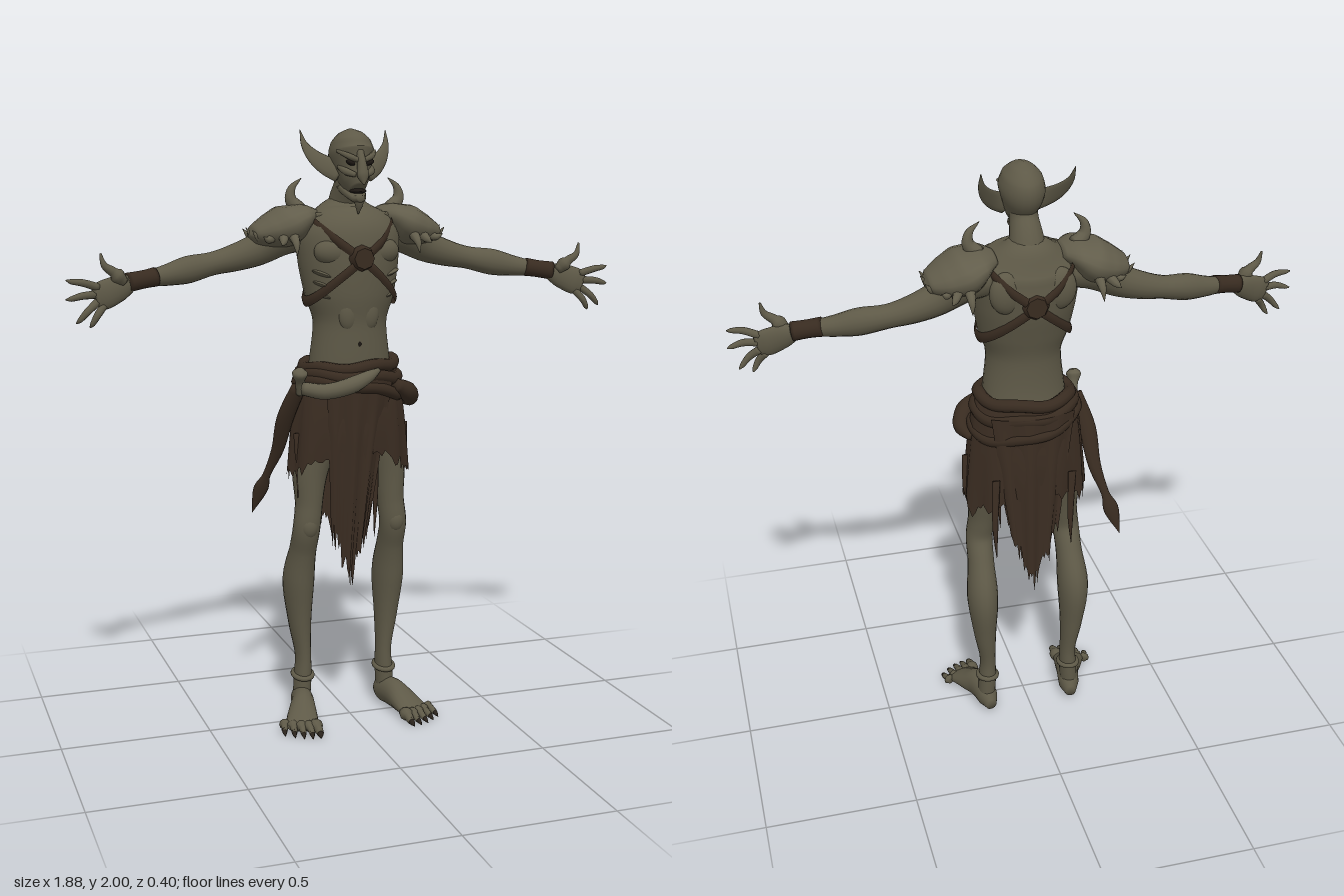
import * as THREE from 'three';

const mat = (name, color, double) => {
  const m = new THREE.MeshStandardMaterial({ color });
  m.name = name;
  if (double) m.side = THREE.DoubleSide;
  return m;
};
const hash = (i) => { const v = Math.sin(i * 12.9898) * 43758.5453; return v - Math.floor(v); };

// Build an indexed grid; closed rings wrap around and get end caps.
function gridGeometry(verts, nu, nv, closed) {
  const index = [], w = closed ? nu : nu + 1;
  for (let i = 0; i < nv; i++) for (let j = 0; j < nu; j++) {
    const k = closed ? (j + 1) % nu : j + 1;
    const a = i * w + j, b = i * w + k, c = (i + 1) * w + k, d = (i + 1) * w + j;
    index.push(a, b, c, a, c, d);
  }
  if (closed) {
    const s = (nv + 1) * w;
    for (let j = 0; j < nu; j++) {
      const k = (j + 1) % nu;
      index.push(s, k, j, s + 1, nv * w + j, nv * w + k);
    }
  }
  const g = new THREE.BufferGeometry();
  g.setAttribute('position', new THREE.Float32BufferAttribute(verts, 3));
  g.setIndex(index);
  g.computeVertexNormals();
  return g;
}

// Smooth body through points [x, y, z, radiusAcross, radiusTowardRef].
function limb(pts, sides = 16, ref = new THREE.Vector3(0, 0, 1)) {
  const path = new THREE.CatmullRomCurve3(pts.map(p => new THREE.Vector3(p[0], p[1], p[2])));
  const radii = new THREE.CatmullRomCurve3(pts.map(p => new THREE.Vector3(p[3], p[4] ?? p[3], 0)));
  const n = (pts.length - 1) * 5, verts = [];
  for (let i = 0; i <= n; i++) {
    const p = path.getPoint(i / n), r = radii.getPoint(i / n), t = path.getTangent(i / n);
    const s = ref.clone().cross(t).normalize(), q = t.clone().cross(s);
    for (let j = 0; j < sides; j++) {
      const a = j / sides * Math.PI * 2;
      const v = p.clone().addScaledVector(s, Math.cos(a) * Math.max(r.x, 0.001))
        .addScaledVector(q, Math.sin(a) * Math.max(r.y, 0.001));
      verts.push(v.x, v.y, v.z);
    }
  }
  for (const t of [0, 1]) verts.push(...path.getPoint(t).toArray());
  return gridGeometry(verts, sides, n, true);
}

// Open sheet from a rule fn(u, v) -> [x, y, z].
function sheet(nu, nv, fn) {
  const verts = [];
  for (let i = 0; i <= nv; i++) for (let j = 0; j <= nu; j++) verts.push(...fn(j / nu, i / nv, j));
  return gridGeometry(verts, nu, nv, false);
}

const TORSO = [
  [0, 1.12, -0.02, 0.15, 0.115], [0, 1.25, -0.005, 0.137, 0.108], [0, 1.37, -0.003, 0.124, 0.108],
  [0, 1.46, -0.005, 0.15, 0.125], [0, 1.56, -0.015, 0.168, 0.14], [0, 1.64, -0.025, 0.175, 0.144],
  [0, 1.7, -0.04, 0.155, 0.125], [0, 1.745, -0.05, 0.1, 0.085], [0, 1.775, -0.05, 0.055, 0.05]];

// Torso cross-section [centreZ, radiusX, radiusZ] at height y.
function torsoAt(y) {
  let i = 0;
  while (i < TORSO.length - 2 && TORSO[i + 1][1] < y) i++;
  const a = TORSO[i], b = TORSO[i + 1], t = (y - a[1]) / (b[1] - a[1]);
  return [2, 3, 4].map(k => a[k] + (b[k] - a[k]) * t);
}

export function createModel() {
  const root = new THREE.Group();
  const skin = mat('skin', 0x5e5947), bone = mat('bone', 0x625d4b), claw = mat('claw', 0x29221b);
  const leather = mat('leather', 0x382b20, true), cloth = mat('cloth', 0x3b2d22, true), dark = mat('eyeDark', 0x1b1612);
  const add = (name, geo, m, parent = root) => {
    const mesh = new THREE.Mesh(geo, m);
    mesh.name = name;
    parent.add(mesh);
    return mesh;
  };
  const ball = (name, m, x, y, z, sx, sy, sz) => {
    const b = add(name, new THREE.SphereGeometry(1, 20, 14), m);
    b.position.set(x, y, z);
    b.scale.set(sx, sy, sz);
    return b;
  };
  const up = new THREE.Vector3(0, 1, 0);

  // Trunk, neck and head
  add('torso', limb(TORSO, 32), skin);
  add('neck', limb([[0, 1.68, -0.07, 0.075, 0.07], [0, 1.77, -0.045, 0.055, 0.057], [0, 1.83, -0.01, 0.046, 0.052], [0, 1.89, 0, 0.045, 0.05]]), skin);
  add('head', limb([[0, 1.805, 0.075, 0.026, 0.04], [0, 1.83, 0.06, 0.042, 0.062], [0, 1.87, 0.035, 0.058, 0.083],
    [0, 1.92, 0.014, 0.072, 0.1], [0, 1.96, 0.008, 0.062, 0.086], [0, 1.988, 0.005, 0.036, 0.05], [0, 2, 0.004, 0.008, 0.01]], 24), skin);
  add('jaw', limb([[0, 1.815, 0.0, 0.045, 0.025], [0, 1.795, 0.05, 0.038, 0.022], [0, 1.78, 0.09, 0.025, 0.016], [0, 1.78, 0.115, 0.012, 0.01]], 14, up), skin);
  add('chin', limb([[0, 1.79, 0.095, 0.02, 0.018], [0, 1.76, 0.092, 0.014, 0.012], [0, 1.73, 0.085, 0.002]], 10), skin);
  add('nose', limb([[0, 1.93, 0.1, 0.012, 0.012], [0, 1.89, 0.118, 0.015, 0.018], [0, 1.855, 0.13, 0.02, 0.018], [0, 1.825, 0.143, 0.003]], 12), skin);
  ball('mouth', dark, 0, 1.803, 0.08, 0.027, 0.009, 0.034);
  ball('navel', dark, 0, 1.31, 0.103, 0.005, 0.009, 0.003);

  for (const s of [1, -1]) {
    const side = s > 0 ? 'left' : 'right';
    const m = (pts) => pts.map(([x, ...r]) => [x * s, ...r]);
    const part = (name, pts, material = skin, sides, ref) => add(side + name, limb(m(pts), sides, ref), material);

    // Face
    ball(side + 'Eye', dark, s * 0.032, 1.893, 0.103, 0.016, 0.008, 0.012).rotation.z = s * 0.4;
    part('Brow', [[0.008, 1.9, 0.115, 0.008], [0.035, 1.912, 0.108, 0.01], [0.064, 1.93, 0.06, 0.005]], skin, 8, up);
    part('Cheek', [[0.02, 1.855, 0.115, 0.008], [0.042, 1.865, 0.09, 0.012], [0.056, 1.88, 0.05, 0.006]], skin, 8, up);
    part('Ear', [[0.045, 1.855, 0.035, 0.028, 0.012], [0.08, 1.88, 0.015, 0.031, 0.009], [0.115, 1.91, -0.015, 0.024, 0.007],
      [0.14, 1.95, -0.045, 0.012, 0.005], [0.148, 1.998, -0.07, 0.001]], skin, 12);

    // Chest, ribs and collarbone
    ball(side + 'Pectoral', skin, s * 0.075, 1.61, 0.068, 0.07, 0.048, 0.044);
    for (let k = 0; k < 3; k++) ball(side + 'Rib', skin, s * (0.108 - k * 0.004), 1.535 - k * 0.036, 0.06 - k * 0.004, 0.042, 0.009, 0.038).rotation.z = s * 0.35;
    ball(side + 'Abdominal', skin, s * 0.035, 1.41, 0.085, 0.035, 0.06, 0.025);
    part('Collarbone', [[0.015, 1.71, 0.055, 0.008], [0.08, 1.725, 0.04, 0.011], [0.15, 1.72, 0, 0.01]], skin, 8, up);
    ball(side + 'ShoulderBlade', skin, s * 0.085, 1.63, -0.125, 0.055, 0.07, 0.035);

    // Arm and hand, palm to the front
    part('Arm', [[0.13, 1.665, -0.055, 0.06, 0.07], [0.21, 1.66, -0.065, 0.067, 0.07], [0.29, 1.615, -0.072, 0.054, 0.052], [0.37, 1.588, -0.074, 0.045, 0.044],
      [0.45, 1.57, -0.068, 0.038, 0.038], [0.53, 1.555, -0.05, 0.044, 0.04], [0.61, 1.54, -0.03, 0.034, 0.033], [0.69, 1.53, -0.008, 0.024, 0.024], [0.74, 1.522, 0.002, 0.025, 0.02]]);
    part('Bracer', [[0.645, 1.537, -0.019, 0.031, 0.032], [0.69, 1.53, -0.008, 0.029, 0.029], [0.738, 1.523, 0.001, 0.031, 0.029]], leather);
    part('Palm', [[0.72, 1.525, 0, 0.024, 0.018], [0.765, 1.508, 0.008, 0.041, 0.02], [0.815, 1.488, 0.017, 0.046, 0.018], [0.845, 1.478, 0.022, 0.036, 0.012]]);
    part('Thumb', [[0.752, 1.525, 0.015, 0.016], [0.785, 1.557, 0.026, 0.016], [0.815, 1.58, 0.03, 0.011], [0.826, 1.618, 0.026, 0.003]], skin, 10);
    const fingers = [[0.835, 1.512, 0.935, 1.537], [0.842, 1.49, 0.937, 1.477], [0.838, 1.466, 0.907, 1.402], [0.82, 1.453, 0.865, 1.388]];
    fingers.forEach(([x0, y0, x1, y1], k) => part('Finger' + (k + 1), [[x0, y0, 0.02, 0.013], [(x0 + x1) / 2, (y0 + y1) / 2 + 0.004, 0.034, 0.0115],
      [x0 + (x1 - x0) * 0.85, y0 + (y1 - y0) * 0.85, 0.032, 0.008], [x1, y1, 0.026, 0.002]], skin, 10));

    // Bone shoulder guard with horn and rim spikes
    part('ShoulderGuard', [[0.105, 1.725, -0.05, 0.02, 0.05], [0.15, 1.718, -0.05, 0.045, 0.11], [0.205, 1.69, -0.05, 0.068, 0.125],
      [0.265, 1.672, -0.05, 0.054, 0.105], [0.315, 1.662, -0.05, 0.03, 0.065], [0.33, 1.66, -0.05, 0.006, 0.02]], bone, 18);
    part('ShoulderHorn', [[0.16, 1.74, -0.05, 0.028, 0.03], [0.187, 1.775, -0.05, 0.02], [0.183, 1.81, -0.05, 0.013], [0.15, 1.843, -0.05, 0.001]], bone, 10);
    for (let k = 0; k < 9; k++) {
      const a = (k / 8 - 0.5) * 3, c = Math.cos(a), z = Math.sin(a), len = 0.9 + hash(k) * 0.25;
      part('GuardSpike', [[0.2 + 0.09 * c, 1.66, -0.05 + 0.1 * z, 0.018], [0.2 + 0.115 * c * len, 1.635 + 0.02 * c, -0.05 + 0.135 * z, 0.012],
        [0.2 + 0.14 * c * len, 1.595 + 0.09 * c, -0.05 + 0.15 * z, 0.001]], bone, 8, up);
    }

    // Leg, foot, toes and claws
    part('Leg', [[0.075, 1.13, -0.02, 0.08, 0.1], [0.108, 1, -0.02, 0.078, 0.088], [0.138, 0.87, -0.01, 0.06, 0.066], [0.146, 0.76, 0, 0.046, 0.052],
      [0.155, 0.68, 0.003, 0.046, 0.048], [0.158, 0.6, -0.03, 0.045, 0.054], [0.163, 0.48, -0.07, 0.053, 0.071], [0.158, 0.33, -0.075, 0.039, 0.053],
      [0.148, 0.2, -0.07, 0.027, 0.039], [0.15, 0.13, -0.07, 0.03, 0.04], [0.155, 0.04, -0.07, 0.03, 0.038]], skin, 20);
    ball(side + 'Kneecap', skin, s * 0.154, 0.69, 0.03, 0.03, 0.042, 0.026);
    const fold = add(side + 'AnkleFold', new THREE.TorusGeometry(0.032, 0.009, 10, 24), skin);
    fold.rotation.set(Math.PI / 2 + 0.15, 0, 0);
    fold.scale.y = 1.25;
    fold.position.set(s * 0.15, 0.138, -0.07);
    part('Foot', [[0.148, 0.032, -0.122, 0.018, 0.02], [0.153, 0.046, -0.08, 0.036, 0.046], [0.168, 0.052, -0.01, 0.04, 0.05],
      [0.188, 0.036, 0.05, 0.051, 0.035], [0.205, 0.02, 0.105, 0.055, 0.019], [0.21, 0.016, 0.125, 0.045, 0.01]], skin, 18, up);
    for (let k = 0; k < 5; k++) {
      const x = 0.163 + k * 0.023, z = 0.188 - k * k * 0.0035, e = 0.163 + k * 0.027, r = k ? 0.0125 : 0.016;
      part('Toe', [[x, 0.02, 0.095 - k * 0.006, r], [(x + e) / 2, 0.022, z - 0.045, r], [e, 0.013, z - 0.012, r * 0.75]], skin, 10, up);
      part('ToeClaw', [[e, 0.016, z - 0.02, r * 0.75], [e + 0.002, 0.01, z - 0.004, r * 0.55], [e + 0.004, 0.004, z + 0.01, 0.001]], claw, 8, up);
    }

    // Crossed harness strap looping the torso
    add(side + 'HarnessStrap', sheet(64, 4, (u, v) => {
      const a = u * Math.PI * 2, y = 1.585 + 0.14 * Math.sin(a);
      const [cz, rx, rz] = torsoAt(y), k = 1.045 + 0.04 * Math.sin(v * Math.PI);
      return [s * rx * k * Math.sin(a), y + (0.5 - v) * 0.036, cz + rz * k * Math.cos(a)];
    }), leather);
  }

  // Harness medallions
  for (const [name, z, d] of [['chestMedallion', 0.135, 0.03], ['backMedallion', -0.168, 0.016]]) {
    const disc = add(name, new THREE.CylinderGeometry(0.034, 0.044, d, 8), leather);
    disc.rotation.x = z > 0 ? Math.PI / 2 : -Math.PI / 2;
    disc.position.set(0, 1.59, z);
  }

  // Ragged wrap around the hips
  add('hipWrap', sheet(96, 16, (u, v, j) => {
    const a = u * Math.PI * 2, sn = Math.sin(a), cs = Math.cos(a);
    const len = 0.25 + 0.09 * sn * sn + (cs < -0.2 ? 0.04 : 0) + hash(j % 96) * 0.05;
    const f = 1 + 0.025 * v * Math.sin(a * 11);
    return [(0.158 + 0.052 * Math.sqrt(v)) * f * sn, 1.225 - v * len, -0.022 + (0.132 + 0.016 * Math.sin(v * 2.6)) * f * cs];
  }), cloth);

  // Long tattered front and back flaps
  const flap = (name, topW, cx, z0, z1, len, bow) => add(name, sheet(36, 22, (u, v, j) => {
    const c = u * 2 - 1, edge = Math.abs(c);
    const drop = len - 0.2 * edge - hash(j + len * 10) * 0.09;
    const w = topW * (1 - 0.42 * v);
    return [cx * v + c * w, 1.2 - v * drop, z0 + (z1 - z0) * v - bow * c * c * (1 - v * 0.7) + 0.007 * Math.sin(u * 19) * Math.min(1, v * 3)];
  }), cloth);
  flap('frontFlap', 0.115, -0.03, 0.142, 0.1, 0.74, 0.035);
  flap('backFlap', 0.14, 0.0, -0.172, -0.165, 0.68, -0.04);

  // Loose strips hanging from the wrap
  for (const [x, y, z, l] of [[0.06, 0.95, 0.08, 0.3], [-0.19, 0.95, 0.02, 0.16], [0.2, 0.96, -0.02, 0.12], [0.13, 0.92, -0.15, 0.24], [-0.13, 0.92, -0.15, 0.22]])
    add('clothStrip', limb([[x, y + 0.06, z, 0.014, 0.004], [x + 0.005, y - l / 2, z - 0.004, 0.01, 0.004], [x, y - l, z, 0.001]], 8), cloth);

  // Rolled belt and sagging sash
  const roll = (name, y, rx, rz, r, tilt, sag) => {
    const pts = Array.from({ length: 28 }, (_, i) => {
      const a = i / 28 * Math.PI * 2;
      return new THREE.Vector3(rx * Math.sin(a), y + tilt * Math.sin(a) + sag * Math.cos(a) + 0.005 * Math.sin(a * 5), -0.015 + rz * Math.cos(a));
    });
    add(name, new THREE.TubeGeometry(new THREE.CatmullRomCurve3(pts, true), 72, r, 10, true), leather);
  };
  roll('beltRoll', 1.232, 0.152, 0.128, 0.021, 0.006, 0);
  roll('beltLowerRoll', 1.195, 0.163, 0.138, 0.022, -0.01, 0.008);
  roll('sashRoll', 1.15, 0.174, 0.146, 0.02, -0.03, 0.02);
  add('sashKnot', limb([[0.13, 1.17, 0.1, 0.02], [0.18, 1.14, 0.07, 0.032], [0.205, 1.11, 0.02, 0.028], [0.19, 1.1, -0.05, 0.012]], 12, up), leather);

  // Bone club tucked across the belt
  add('beltBone', limb([[-0.19, 1.17, 0.09, 0.022], [-0.13, 1.165, 0.14, 0.026], [-0.05, 1.185, 0.165, 0.027], [0.01, 1.21, 0.16, 0.02], [0.055, 1.225, 0.13, 0.008]], 14, up), bone);

  // Dagger: bone hilt and hanging sheath
  add('daggerHilt', limb([[-0.185, 1.15, 0.05, 0.018], [-0.195, 1.19, 0.07, 0.016], [-0.2, 1.22, 0.085, 0.026], [-0.2, 1.235, 0.09, 0.012]], 12), bone);
  add('daggerSheath', limb([[-0.19, 1.17, 0.04, 0.026, 0.02], [-0.222, 1.06, -0.01, 0.03, 0.018], [-0.235, 0.94, -0.065, 0.022, 0.014],
    [-0.262, 0.85, -0.105, 0.014, 0.01], [-0.277, 0.8, -0.125, 0.026, 0.012], [-0.303, 0.71, -0.15, 0.001]], 10), leather);

  return root;
}
